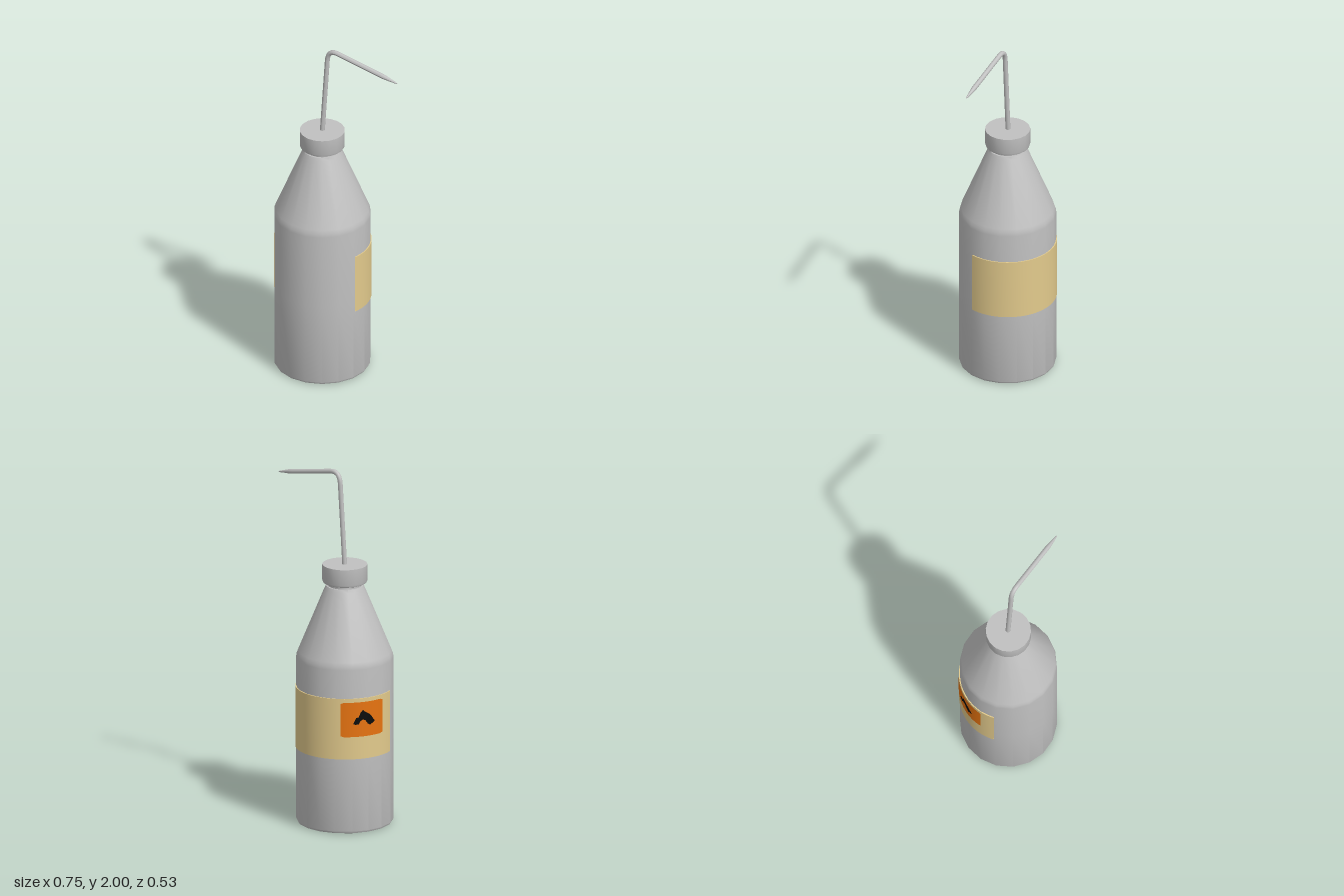
import * as THREE from 'three';
import { toCreasedNormals } from 'three/addons/utils/BufferGeometryUtils.js';

const CX = -0.104, CZ = 0.002; // bottle axis
const rad = THREE.MathUtils.degToRad;

function material(name, color, side = THREE.FrontSide) {
  const m = new THREE.MeshStandardMaterial({ color, side });
  m.name = name;
  return m;
}

// Turned part around the bottle axis
function turned(name, profile, mat, segments = 18, start = rad(10), sweep = Math.PI * 2) {
  const pts = profile.map(([r, y]) => new THREE.Vector2(r, y));
  const mesh = new THREE.Mesh(toCreasedNormals(new THREE.LatheGeometry(pts, segments, start, sweep), 0.5), mat);
  mesh.name = name;
  mesh.position.set(CX, 0, CZ);
  return mesh;
}

// Curved sticker from columns of [angle from the back in degrees, bottom, top]
function sticker(name, columns, r, mat) {
  const pos = [], index = [];
  columns.forEach(([deg, bottom, top], i) => {
    const x = -r * Math.sin(rad(deg)), z = -r * Math.cos(rad(deg));
    pos.push(x, bottom, z, x, top, z);
    if (i > 0) {
      const b = 2 * i;
      index.push(b - 2, b, b + 1, b - 2, b + 1, b - 1);
    }
  });
  const geo = new THREE.BufferGeometry();
  geo.setAttribute('position', new THREE.Float32BufferAttribute(pos, 3));
  geo.setIndex(index);
  geo.computeVertexNormals();
  const mesh = new THREE.Mesh(geo, mat);
  mesh.name = name;
  mesh.position.set(CX, 0, CZ);
  return mesh;
}

// Bent spout with a tapered tip
function spout(mat) {
  const v = (x, y) => new THREE.Vector3(x, y, 0);
  const path = new THREE.CurvePath();
  path.add(new THREE.LineCurve3(v(-0.106, 1.45), v(-0.073, 1.925)));
  path.add(new THREE.QuadraticBezierCurve3(v(-0.073, 1.925), v(-0.067, 1.998), v(-0.005, 1.984)));
  path.add(new THREE.LineCurve3(v(-0.005, 1.984), v(0.374, 1.907)));
  const rings = 70, sides = 12;
  const geo = new THREE.TubeGeometry(path, rings, 0.0135, sides, false);
  const p = geo.attributes.position, q = new THREE.Vector3();
  for (let i = 0; i <= rings; i++) {
    const c = path.getPointAt(i / rings);
    let s = 1 - 0.65 * THREE.MathUtils.smoothstep(c.x, 0.27, 0.375);
    if (i === rings) s = 0.05;
    for (let j = 0; j <= sides; j++) {
      const k = i * (sides + 1) + j;
      q.fromBufferAttribute(p, k).sub(c).multiplyScalar(s).add(c);
      p.setXYZ(k, q.x, q.y, q.z);
    }
  }
  geo.computeVertexNormals();
  const mesh = new THREE.Mesh(geo, mat);
  mesh.name = 'spout';
  return mesh;
}

export function createModel() {
  const plastic = material('grey plastic', 0xc0c0c0);
  const paper = material('tan paper', 0xe2ca8c, THREE.DoubleSide);
  const orange = material('orange sticker', 0xe87410, THREE.DoubleSide);
  const black = material('black print', 0x0a0a0a, THREE.DoubleSide);
  const group = new THREE.Group();
  group.name = 'washBottle';

  // Body with sloping shoulder and short neck
  group.add(turned('body', [
    [0, 0.002], [0.25, 0.002], [0.262, 0.006], [0.267, 0.016], [0.267, 0.5], [0.267, 0.94],
    [0.265, 0.96], [0.258, 0.98], [0.112, 1.335], [0.104, 1.352],
    [0.094, 1.352], [0.094, 1.38],
  ], plastic));

  // Screw cap
  group.add(turned('cap', [
    [0, 1.368], [0.113, 1.368], [0.121, 1.372], [0.1245, 1.382], [0.1245, 1.472], [0, 1.472],
  ], plastic));

  group.add(spout(plastic));

  // Paper label wrapped around the back
  group.add(turned('label', [
    [0.265, 0.432], [0.271, 0.432], [0.271, 0.778], [0.265, 0.778], [0.265, 0.432],
  ], paper, 48, rad(73), rad(214)));

  // Orange hazard patch with a flame
  const patch = [];
  for (let i = 0; i <= 14; i++) {
    const inset = i === 0 || i === 14 ? 0.006 : 0;
    patch.push([36 + (54 * i) / 14, 0.56 + inset, 0.757 - inset]);
  }
  group.add(sticker('hazardPatch', patch, 0.2725, orange));
  group.add(sticker('flame', [
    [51, 0.632, 0.64], [54, 0.63, 0.668], [57, 0.632, 0.672], [59, 0.648, 0.695], [62, 0.658, 0.712],
    [65, 0.652, 0.7], [68, 0.632, 0.692], [71, 0.622, 0.682], [74, 0.63, 0.665], [77, 0.638, 0.645],
  ], 0.2738, black));

  return group;
}
